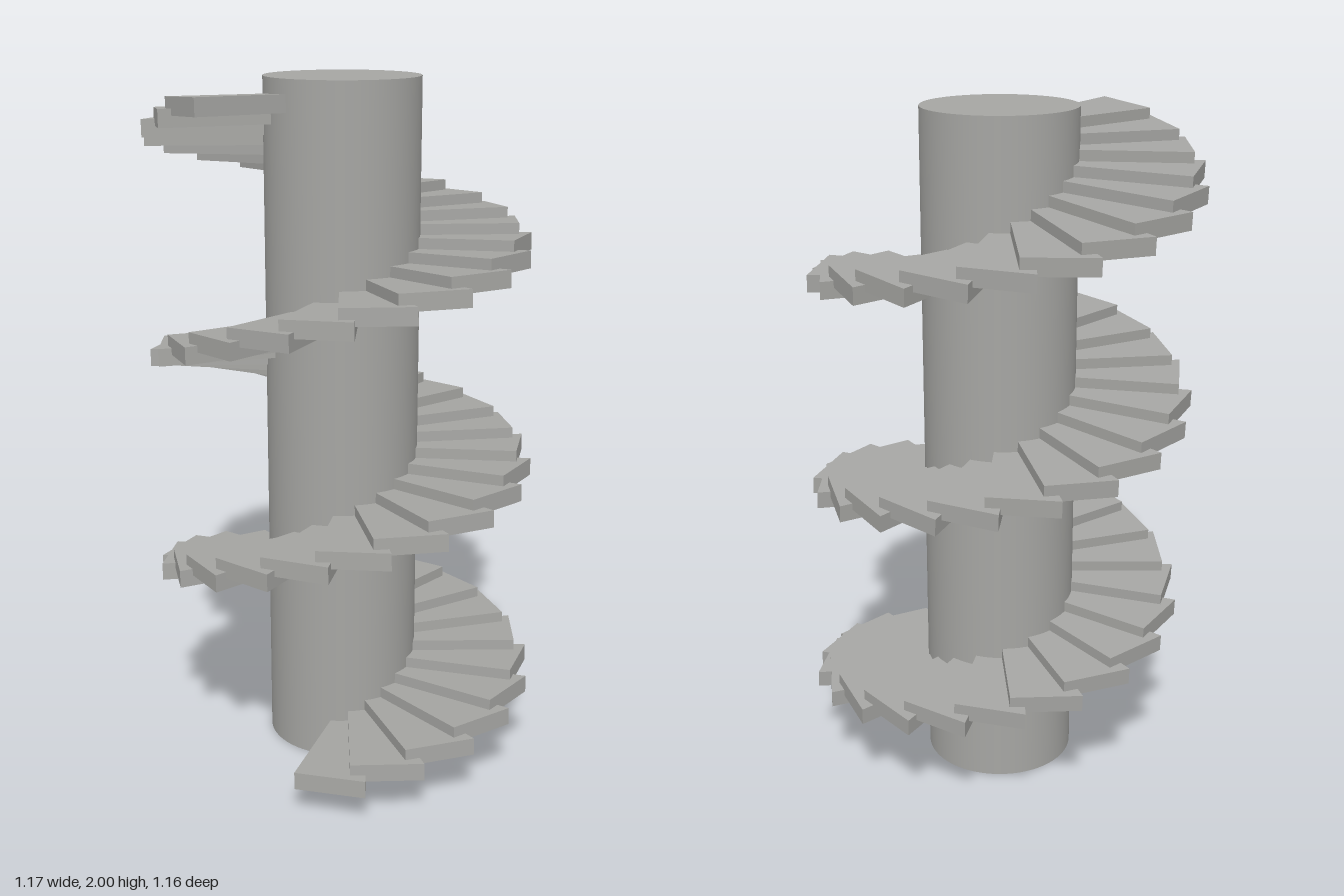
import * as THREE from 'three';

const STEP_COUNT = 60;
const RISE = 0.0313;
const THICKNESS = 0.05;
const TURN = THREE.MathUtils.degToRad(17.53);
const START = THREE.MathUtils.degToRad(5);

// Tapered tread: straight trailing edge along the radius, wider at the outer end
function treadGeometry() {
  const outline = [[0, 0.1], [0, 0.517], [0.207, 0.517], [0.092, 0.1]];
  const shape = new THREE.Shape(outline.map(([x, z]) => new THREE.Vector2(x, -z)));
  const geometry = new THREE.ExtrudeGeometry(shape, { depth: THICKNESS, bevelEnabled: false });
  return geometry.rotateX(-Math.PI / 2);
}

export function createModel() {
  const model = new THREE.Group();
  model.name = 'spiralStaircase';
  const stone = new THREE.MeshStandardMaterial({ color: 0xa6a6a3 });
  stone.name = 'grey stone';

  // Central column
  const column = new THREE.Mesh(new THREE.CylinderGeometry(0.223, 0.223, 2, 64), stone);
  column.name = 'column';
  column.position.set(-0.011, 1, -0.008);
  model.add(column);

  // Flight of steps, leaning slightly off the column's axis
  const steps = new THREE.Group();
  steps.name = 'steps';
  steps.position.set(-0.01, 1, -0.005);
  steps.quaternion.setFromUnitVectors(
    new THREE.Vector3(0, 1, 0),
    new THREE.Vector3(-0.036, 1, -0.047).normalize()
  );
  const tread = treadGeometry();
  for (let i = 0; i < STEP_COUNT; i++) {
    const step = new THREE.Mesh(tread, stone);
    step.name = `step${i + 1}`;
    step.position.y = -0.945 + i * RISE;
    step.rotation.y = START + i * TURN;
    steps.add(step);
  }
  model.add(steps);
  return model;
}
